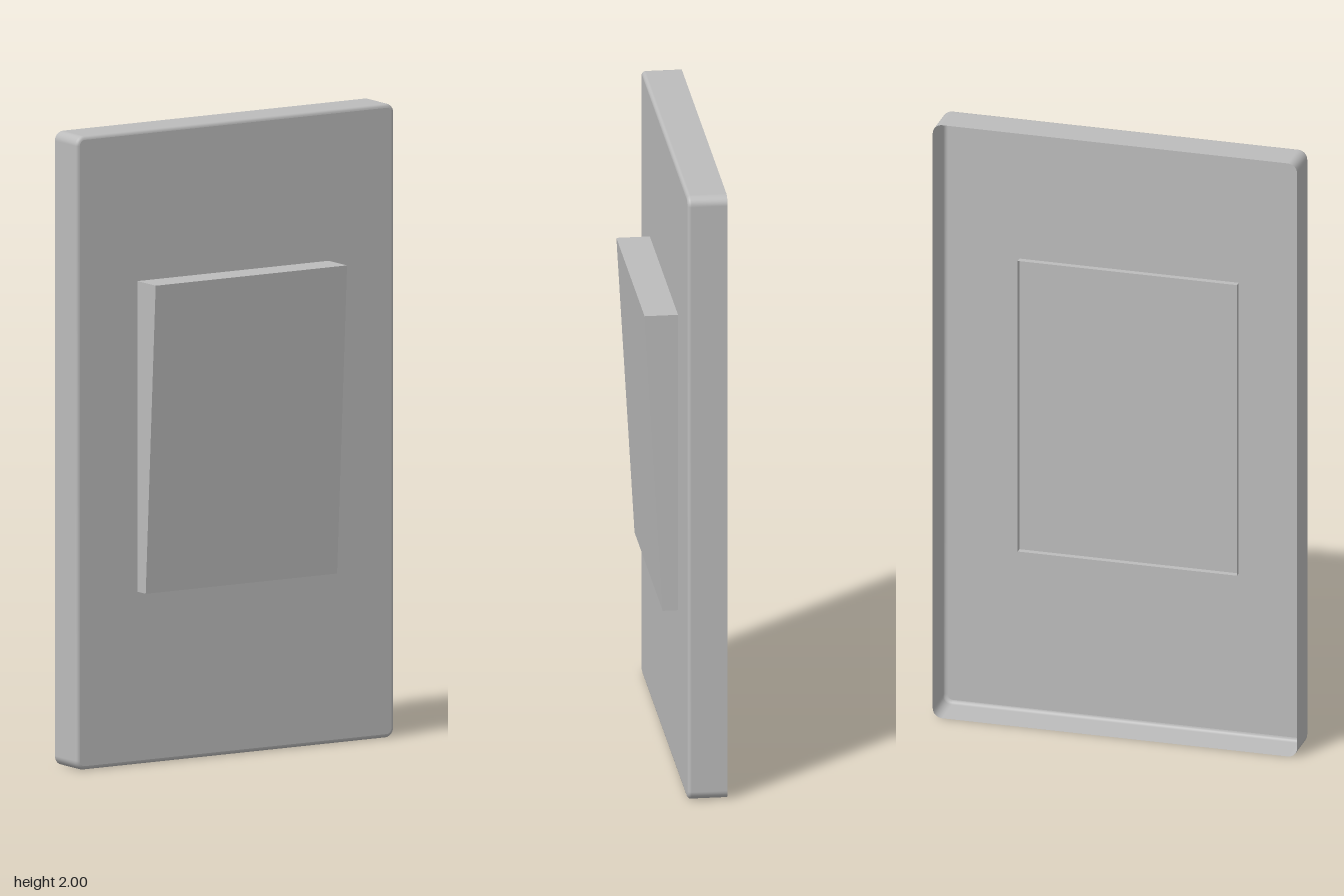
import * as THREE from 'three';

const grey = new THREE.MeshStandardMaterial({ color: 0xbcbcbc, side: THREE.DoubleSide });
grey.name = 'light grey';

const W = 1.18, H = 2, BACK = -0.115, FRONT = 0.01;
const CORNER = 0.03, FILLET = 0.012, STEPS = 6;

// Counter-clockwise rounded rectangle, inset from the plate's outline
function outline(inset) {
  const r = CORNER - inset, points = [];
  const cx = W / 2 - CORNER, cy = H / 2 - CORNER;
  [[1, 1], [-1, 1], [-1, -1], [1, -1]].forEach(([sx, sy], q) => {
    for (let i = 0; i <= STEPS; i++) {
      const a = (q + i / STEPS) * Math.PI / 2;
      points.push(new THREE.Vector2(sx * cx + r * Math.cos(a), H / 2 + sy * cy + r * Math.sin(a)));
    }
  });
  return points;
}

// Thin rim that curls from the open back into the front face
function rimGeometry() {
  const rings = [[0, BACK], [0, FRONT - FILLET]];
  for (let i = 1; i <= 4; i++) {
    const a = i / 4 * Math.PI / 2;
    rings.push([FILLET * (1 - Math.cos(a)), FRONT - FILLET * (1 - Math.sin(a))]);
  }
  const positions = [], index = [];
  const n = 4 * (STEPS + 1);
  rings.forEach(([inset, z], k) => {
    outline(inset).forEach((p, i) => {
      positions.push(p.x, p.y, z);
      if (k === rings.length - 1) return;
      const a = k * n + i, b = k * n + (i + 1) % n;
      index.push(a, b, b + n, a, b + n, a + n);
    });
  });
  const g = new THREE.BufferGeometry();
  g.setAttribute('position', new THREE.Float32BufferAttribute(positions, 3));
  g.setIndex(index);
  g.computeVertexNormals();
  return g;
}

// Open-backed box with a sloping front, its walls reaching just behind the plate
function rockerGeometry() {
  const x0 = -0.365, x1 = 0.345, y0 = 0.545, y1 = 1.525;
  const g = new THREE.BoxGeometry(1, 1, 1);
  const p = g.attributes.position;
  for (let i = 0; i < p.count; i++) {
    const top = p.getY(i) > 0;
    const z = p.getZ(i) < 0 ? -0.01 : top ? 0.115 : 0.058;
    p.setXYZ(i, p.getX(i) > 0 ? x1 : x0, top ? y1 : y0, z);
  }
  g.setIndex(Array.from(g.index.array).slice(0, 30)); // leave out the back face
  g.clearGroups();
  g.computeVertexNormals();
  return g;
}

export function createModel() {
  const model = new THREE.Group();
  model.name = 'wallSwitch';
  const add = (name, geometry) => {
    const mesh = new THREE.Mesh(geometry, grey);
    mesh.name = name;
    model.add(mesh);
    return mesh;
  };
  add('plateRim', rimGeometry());
  add('plateFace', new THREE.ShapeGeometry(new THREE.Shape(outline(FILLET)))).position.z = FRONT;
  add('rocker', rockerGeometry());
  return model;
}
